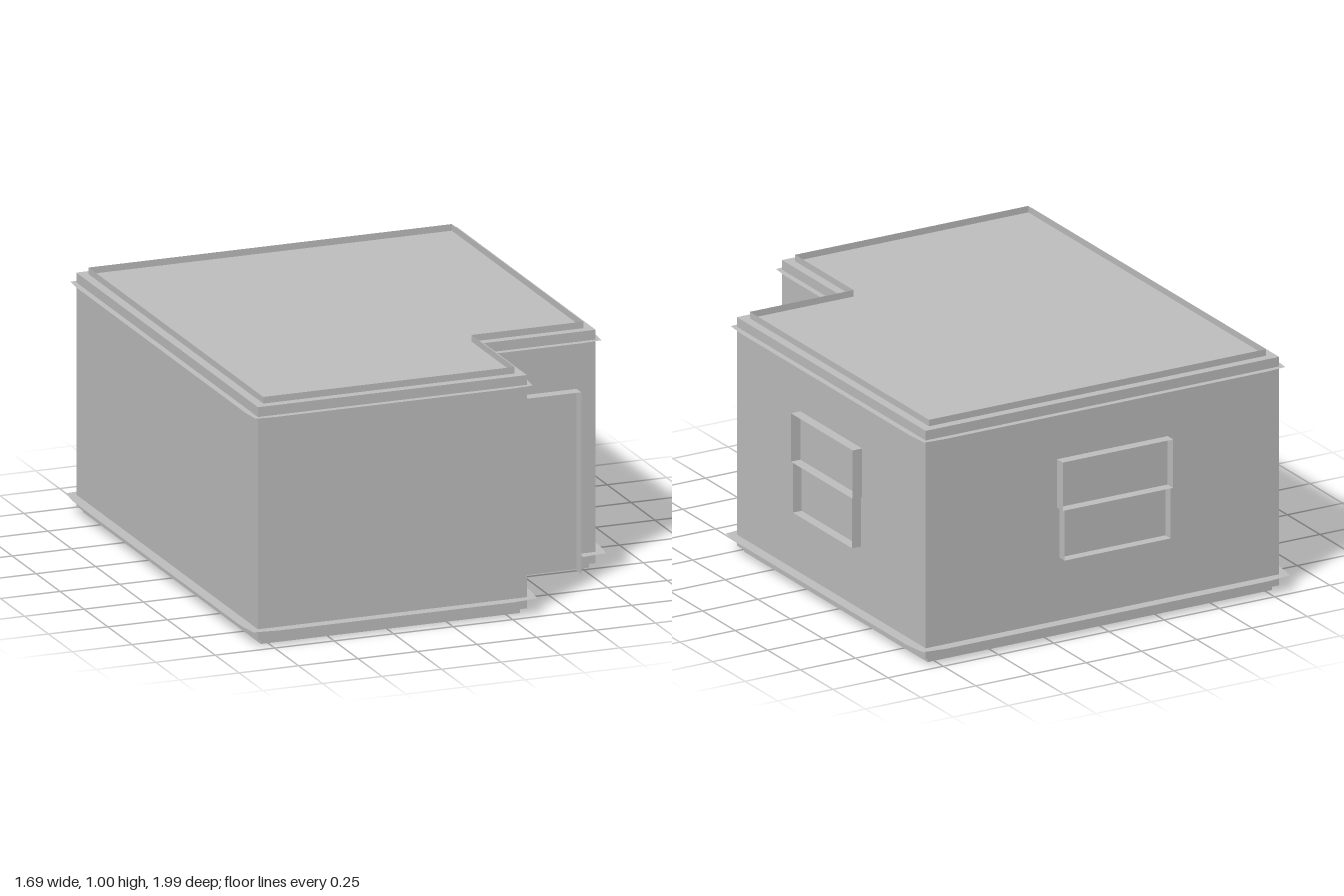
import * as THREE from 'three';

// L-shaped footprint: corner [x, z] and outward direction at each corner
const corners = [[-0.8, 0.95], [0.33, 0.95], [0.33, 0.5], [0.8, 0.5], [0.8, -0.95], [-0.8, -0.95]];
const outward = [[-1, 1], [1, 1], [1, 1], [1, 1], [1, -1], [-1, -1]];
const normals = [[0, 1], [1, 0], [0, 1], [1, 0], [0, -1], [-1, 0]];

const grow = (i, d) => [corners[i][0] + outward[i][0] * d, corners[i][1] + outward[i][1] * d];
const footprint = (d) => corners.map((c, i) => grow(i, d));
const toShape = (pts) => new THREE.Shape(pts.map(([x, z]) => new THREE.Vector2(x, -z)));

export function createModel() {
  const house = new THREE.Group();
  house.name = 'house';
  const plaster = new THREE.MeshStandardMaterial({ color: 0xbfbfbf, side: THREE.DoubleSide });
  plaster.name = 'grey plaster';

  const add = (parent, name, geometry) => {
    const mesh = new THREE.Mesh(geometry, plaster);
    mesh.name = name;
    parent.add(mesh);
    return mesh;
  };

  // Solid slabs extruded from the footprint
  const slab = (name, offset, y0, y1) => {
    const geo = new THREE.ExtrudeGeometry(toShape(footprint(offset)), { depth: y1 - y0, bevelEnabled: false });
    add(house, name, geo.rotateX(-Math.PI / 2)).position.y = y0;
  };
  slab('base', -0.02, 0, 0.022);
  slab('walls', 0, 0.022, 0.975);

  // Thin parapet standing on the roof
  const parapet = new THREE.Group();
  parapet.name = 'parapet';
  house.add(parapet);
  const rim = footprint(-0.037);
  rim.forEach(([x, z], i) => {
    const [x2, z2] = rim[(i + 1) % rim.length];
    const side = add(parapet, 'parapetSide', new THREE.PlaneGeometry(Math.hypot(x2 - x, z2 - z), 0.03));
    side.position.set((x + x2) / 2, 0.987, (z + z2) / 2);
    side.rotation.y = -Math.atan2(z2 - z, x2 - x);
  });

  // Thin ledges round the walls, drawn in slightly at the corners
  const ledge = (name, y, d, doorGap) => {
    const group = new THREE.Group();
    group.name = name;
    house.add(group);
    corners.forEach((a, i) => {
      const j = (i + 1) % corners.length;
      const b = corners[j];
      const n = normals[i];
      const len = Math.hypot(b[0] - a[0], b[1] - a[1]);
      const dir = [(b[0] - a[0]) / len, (b[1] - a[1]) / len];
      const at = (t, out) => [a[0] + dir[0] * t + n[0] * out, a[1] + dir[1] * t + n[1] * out];
      const start = [a, grow(i, d * 0.7), at(0.07, d)];
      const end = [at(len - 0.07, d), grow(j, d * 0.7), b];
      const pieces = doorGap && i === 2
        ? [[...start, at(0.07, 0)], [at(len - 0.07, 0), ...end]]
        : [[...start, ...end]];
      for (const p of pieces) {
        add(group, 'ledgeStrip', new THREE.ShapeGeometry(toShape(p)).rotateX(-Math.PI / 2)).position.y = y;
      }
    });
  };
  ledge('lowerLedge', 0.068, 0.045, true);
  ledge('upperLedge', 0.935, 0.025, false);

  // Thin surrounds projecting along +z from a wall
  const upright = (g, name, x, y0, y1, depth) => {
    const geo = new THREE.PlaneGeometry(depth, y1 - y0).rotateY(Math.PI / 2);
    add(g, name, geo).position.set(x, (y0 + y1) / 2, depth / 2);
  };
  const shelf = (g, name, width, y, depth) => {
    const geo = new THREE.PlaneGeometry(width, depth).rotateX(-Math.PI / 2);
    add(g, name, geo).position.set(0, y, depth / 2);
  };

  // Door surround
  const door = new THREE.Group();
  door.name = 'doorFrame';
  door.position.set(0.56, 0, 0.5);
  for (const s of [-1, 1]) upright(door, 'doorJamb', s * 0.16, 0, 0.743, 0.048);
  shelf(door, 'doorHead', 0.32, 0.743, 0.048);
  house.add(door);

  // Two-part windows on the right and back walls
  const addWindow = (name, x, z, angle, width) => {
    const g = new THREE.Group();
    g.name = name;
    for (const s of [-1, 1]) {
      upright(g, 'upperJamb', s * width / 2, 0.54, 0.742, 0.043);
      upright(g, 'lowerJamb', s * (width / 2 - 0.01), 0.33, 0.54, 0.04);
    }
    shelf(g, 'windowHead', width, 0.742, 0.043);
    shelf(g, 'windowRail', width, 0.54, 0.043);
    shelf(g, 'windowSill', width - 0.02, 0.33, 0.04);
    g.position.set(x, 0, z);
    g.rotation.y = angle;
    house.add(g);
  };
  addWindow('sideWindow', 0.8, -0.225, Math.PI / 2, 0.475);
  addWindow('backWindow', -0.045, -0.95, Math.PI, 0.5);

  return house;
}
